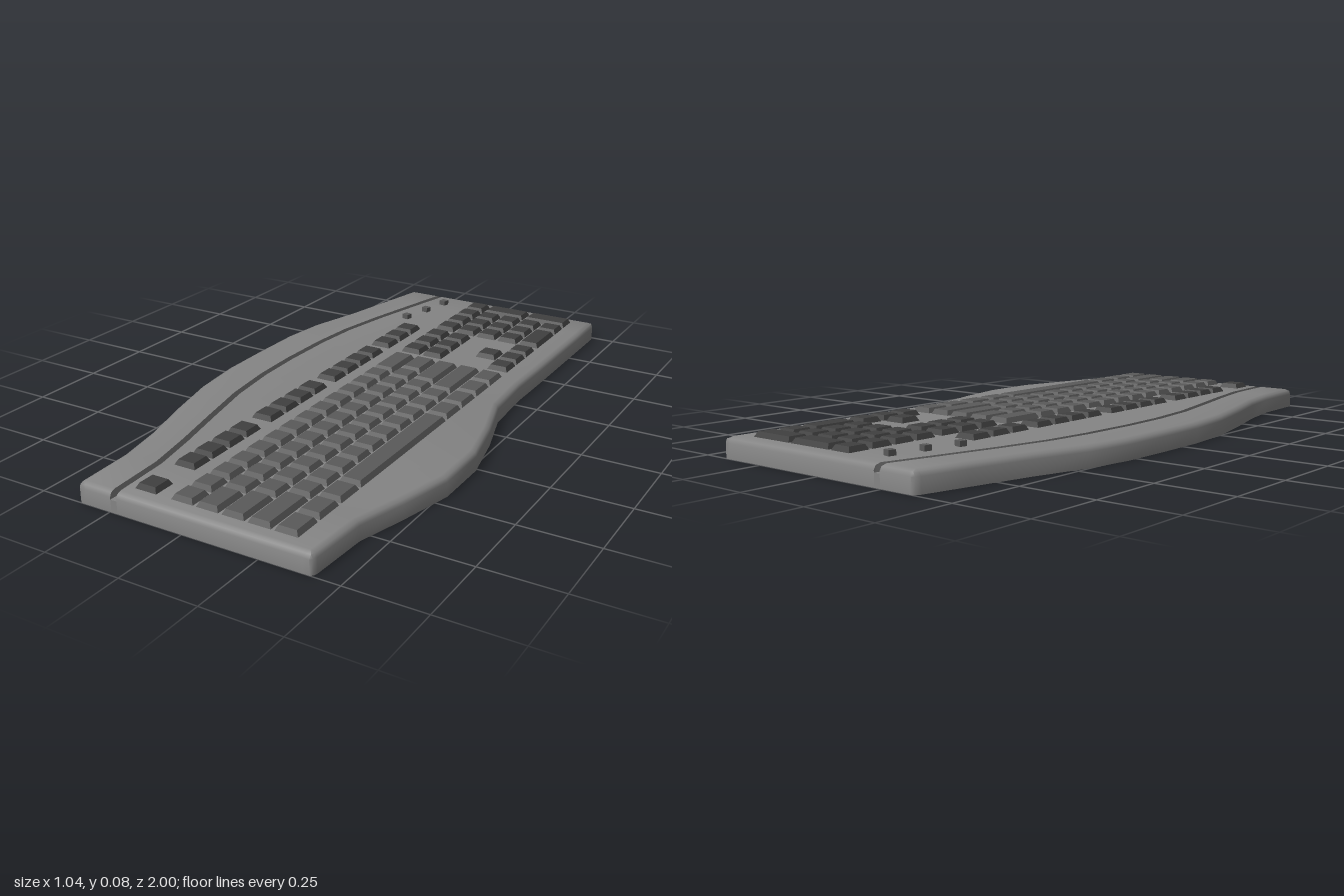
import * as THREE from 'three';
import { toCreasedNormals } from 'three/addons/utils/BufferGeometryUtils.js';

const mat = (name, color) => {
  const m = new THREE.MeshStandardMaterial({ color });
  m.name = name;
  return m;
};
const DECK = 0.065, TOP = 0.081, U = 0.0847; // deck height, key top height, key pitch

// Case stations: z, left edge, groove edge, right edge, height limit
const STATIONS = [
  [-1, -0.36, -0.245, 0.408, 0.047], [-0.994, -0.368, -0.246, 0.416, 0.059],
  [-0.98, -0.375, -0.25, 0.42, DECK], [-0.84, -0.405, -0.285, 0.42, DECK],
  [-0.63, -0.45, -0.335, 0.42, DECK], [-0.45, -0.5, -0.37, 0.42, DECK],
  [-0.29, -0.52, -0.385, 0.418, DECK], [-0.09, -0.522, -0.39, 0.43, DECK],
  [0.08, -0.52, -0.385, 0.48, DECK], [0.26, -0.5, -0.365, 0.518, DECK],
  [0.45, -0.455, -0.325, 0.518, DECK], [0.63, -0.405, -0.285, 0.475, DECK],
  [0.79, -0.375, -0.255, 0.43, DECK], [0.98, -0.367, -0.245, 0.42, DECK],
  [0.994, -0.362, -0.245, 0.416, 0.059], [1, -0.354, -0.245, 0.408, 0.047],
];

// Cross-section with rounded shoulders and the palm rest groove
function section([z, l, g, r, cap]) {
  return [
    [l, 0], [l, 0.047], [l + 0.006, 0.059], [l + 0.02, DECK],
    [g, DECK], [g, 0.04], [g + 0.022, 0.04], [g + 0.022, DECK],
    [r - 0.02, DECK], [r - 0.006, 0.059], [r, 0.047], [r, 0],
  ].map(([x, y]) => [x, Math.min(y, cap), z]);
}

function caseGeometry() {
  const rings = STATIONS.map(section), pos = [];
  const quad = (a, b, c, d) => pos.push(...a, ...b, ...c, ...a, ...c, ...d);
  for (let s = 0; s < rings.length - 1; s++) {
    const p = rings[s], q = rings[s + 1], n = p.length;
    for (let i = 0; i < n; i++) {
      const j = (i + 1) % n;
      quad(p[i], q[i], q[j], p[j]);
    }
  }
  // End walls, as columns down to the base
  const foot = ([x, , z]) => [x, 0, z];
  const back = rings[0], front = rings[rings.length - 1];
  for (let i = 0; i < back.length - 1; i++) {
    quad(foot(front[i]), foot(front[i + 1]), front[i + 1], front[i]);
    quad(foot(back[i + 1]), foot(back[i]), back[i], back[i + 1]);
  }
  const geo = new THREE.BufferGeometry();
  geo.setAttribute('position', new THREE.Float32BufferAttribute(pos, 3));
  return toCreasedNormals(geo, 0.75);
}

// Keycap spanning x0..x1 and z0..z1, with sloping sides
function keyGeometry(x0, x1, z0, z1, gap = 0.003, inset = 0.011) {
  const w = x1 - x0 - 2 * gap, d = z1 - z0 - 2 * gap, base = 0.06;
  const geo = new THREE.BoxGeometry(w, TOP - base, d);
  const p = geo.attributes.position;
  for (let i = 0; i < p.count; i++) {
    if (p.getY(i) < 0) continue;
    p.setX(i, p.getX(i) - Math.sign(p.getX(i)) * inset);
    p.setZ(i, p.getZ(i) - Math.sign(p.getZ(i)) * inset);
  }
  geo.computeVertexNormals();
  return geo.translate((x0 + x1) / 2, (TOP + base) / 2, (z0 + z1) / 2);
}

export function createModel() {
  const model = new THREE.Group();
  model.name = 'keyboard';
  const body = mat('case grey', 0x858585);
  const light = mat('key grey', 0x5a5a5a);
  const dark = mat('dark key grey', 0x404040);

  const shell = new THREE.Mesh(caseGeometry(), body);
  shell.name = 'case';
  model.add(shell);

  const block = (name) => {
    const g = new THREE.Group();
    g.name = name;
    model.add(g);
    return g;
  };
  const X0 = -0.076;
  // Key placed by row and column units, growing towards +x and +z
  const key = (group, material, name, x, z, rows = 1, cols = 1) => {
    const m = new THREE.Mesh(keyGeometry(x, x + rows * U, z, z + cols * U), material);
    m.name = name;
    group.add(m);
  };

  // Main typing block: key widths per row, starting at the +z end
  const ones = (n) => Array(n).fill(1);
  const main = block('typingKeys');
  [
    [...ones(13), 2],
    [1.5, ...ones(12), 1.5],
    [1.75, ...ones(11), 2.25],
    [2.25, ...ones(10), 2.75],
    [1.25, 1.25, 1.25, 6.25, 1.25, 1.25, 1.25, 1.25],
  ].forEach((row, r) => {
    let z = 0.955;
    for (const w of row) {
      z -= w * U;
      key(main, light, 'typingKey', X0 + r * U, z, 1, w);
    }
  });

  // Function row: start z and key count of each cluster
  const functionRow = block('functionKeys');
  for (const [z, n] of [[-0.6, 3], [-0.315, 4], [0.063, 4], [0.446, 4], [0.87, 1]])
    for (let i = 0; i < n; i++) key(functionRow, dark, 'functionKey', -0.202, z + i * U);

  // Navigation cluster and arrows
  const nav = block('navigationKeys');
  for (let c = 0; c < 3; c++) {
    for (let r = 0; r < 2; r++) key(nav, dark, 'navigationKey', X0 + r * U, -0.6 + c * U);
    key(nav, dark, 'arrowKey', X0 + 4 * U, -0.6 + c * U);
  }
  key(nav, dark, 'arrowKey', X0 + 3 * U, -0.6 + U);

  // Number pad: row, column, row span, column span
  const pad = block('numberPad');
  const padKeys = [[0, 0, 1, 1], [1, 0, 2, 1], [3, 0, 2, 1], [4, 1, 1, 1], [4, 2, 1, 2]];
  for (let r = 0; r < 4; r++) for (let c = 1; c < 4; c++) padKeys.push([r, c, 1, 1]);
  for (const [r, c, h, w] of padKeys)
    key(pad, dark, 'numberKey', X0 + r * U, -0.955 + c * U, h, w);

  // Three small indicators beside the groove
  const lamps = block('indicators');
  for (const [x, z] of [[-0.177, -0.9], [-0.2, -0.79], [-0.227, -0.68]]) {
    const lamp = new THREE.Mesh(new THREE.BoxGeometry(0.025, 0.022, 0.024), light);
    lamp.name = 'indicator';
    lamp.position.set(x, 0.071, z);
    lamp.rotation.y = -0.2;
    lamps.add(lamp);
  }
  return model;
}
